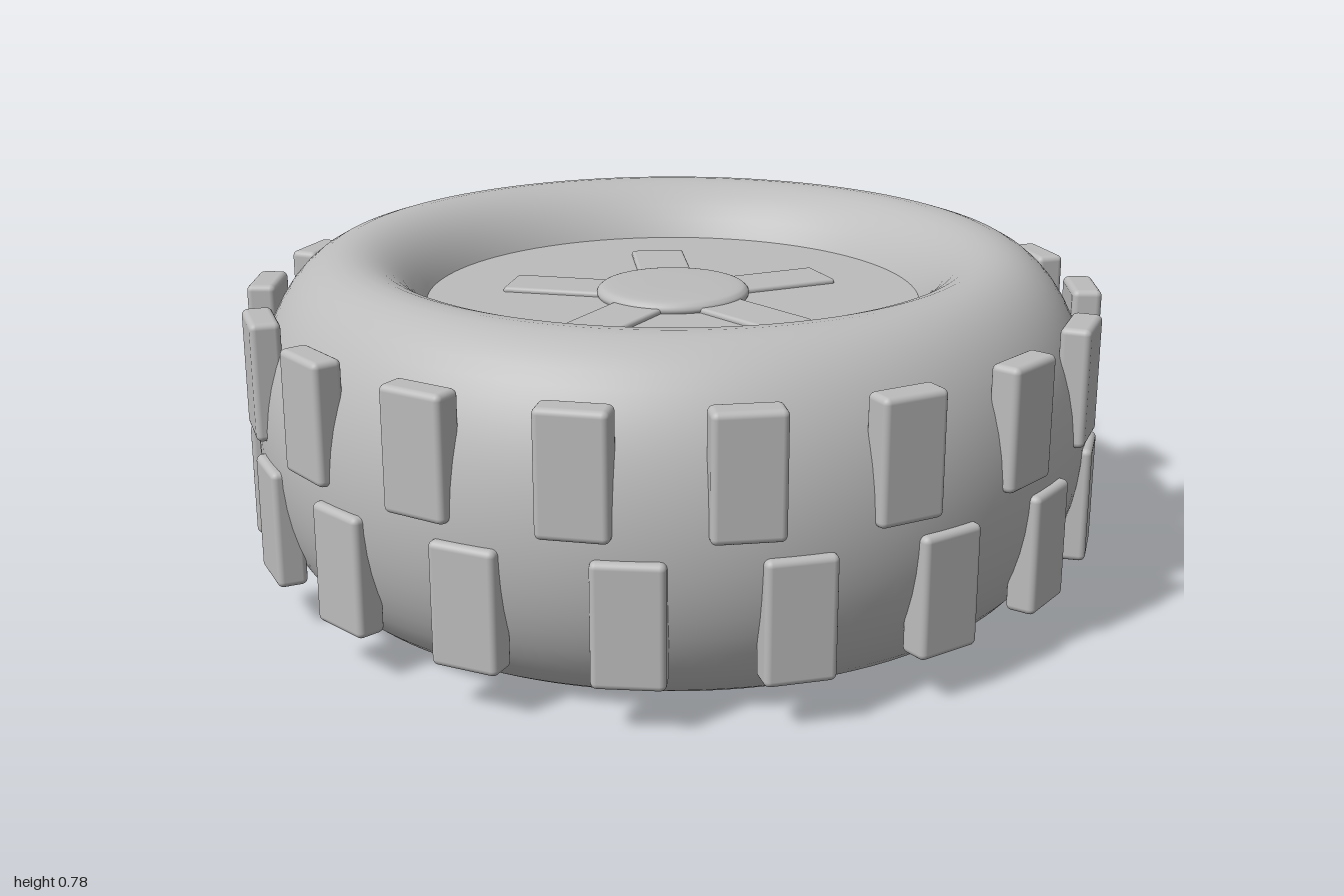
import * as THREE from 'three';
import { RoundedBoxGeometry } from 'three/addons/geometries/RoundedBoxGeometry.js';

const MID = 0.388; // height of the wheel's middle plane
const DEG = Math.PI / 180;

export function createModel() {
  const wheel = new THREE.Group();
  wheel.name = 'wheel';
  const grey = new THREE.MeshStandardMaterial({ color: 0xbcbcbc });
  grey.name = 'grey';

  const add = (name, geometry, parent = wheel) => {
    const mesh = new THREE.Mesh(geometry, grey);
    mesh.name = name;
    parent.add(mesh);
    return mesh;
  };

  // Tyre: a ring with a tall elliptical section
  const tyre = new THREE.TorusGeometry(0.75, 0.23, 48, 128);
  tyre.rotateX(Math.PI / 2);
  tyre.scale(1, MID / 0.23, 1);
  add('tyre', tyre).position.y = MID;

  // Rim disc filling the middle, closed on both sides
  add('rimDisc', new THREE.CylinderGeometry(0.58, 0.58, 0.524, 96)).position.y = MID;

  // Tread blocks: two staggered rows of eighteen
  const block = new RoundedBoxGeometry(0.153, 0.272, 0.068, 3, 0.014);
  const rows = [
    { name: 'upperTreadBlock', y: 0.547, start: 6.8 },
    { name: 'lowerTreadBlock', y: 0.238, start: -6.9 },
  ];
  for (const { name, y, start } of rows) {
    for (let i = 0; i < 18; i++) {
      const angle = (start + i * 20) * DEG;
      const mesh = add(name, block);
      mesh.position.set(0.964 * Math.sin(angle), y, 0.964 * Math.cos(angle));
      mesh.rotation.y = angle;
    }
  }

  // Hub cap and spokes, the same on the top and the underside
  const hubProfile = new THREE.SplineCurve([
    [0.178, 0], [0.18, 0.008], [0.174, 0.018], [0.155, 0.025], [0.08, 0.028], [0, 0.028],
  ].map(([r, y]) => new THREE.Vector2(r, y))).getPoints(20);
  hubProfile[hubProfile.length - 1].x = 0;
  const hub = new THREE.LatheGeometry(hubProfile, 64);
  const spoke = new RoundedBoxGeometry(0.13, 0.03, 0.3, 3, 0.008);
  spoke.translate(0, -0.004, 0.25);

  for (const side of ['top', 'bottom']) {
    const face = new THREE.Group();
    face.name = side + 'HubFace';
    face.position.y = side === 'top' ? MID + 0.262 : MID - 0.262;
    // Half a turn about z puts the same face underneath
    if (side === 'bottom') face.rotation.z = Math.PI;
    add('hubCap', hub, face);
    for (let i = 0; i < 5; i++) add('spoke', spoke, face).rotation.y = i * 72 * DEG;
    wheel.add(face);
  }

  return wheel;
}
